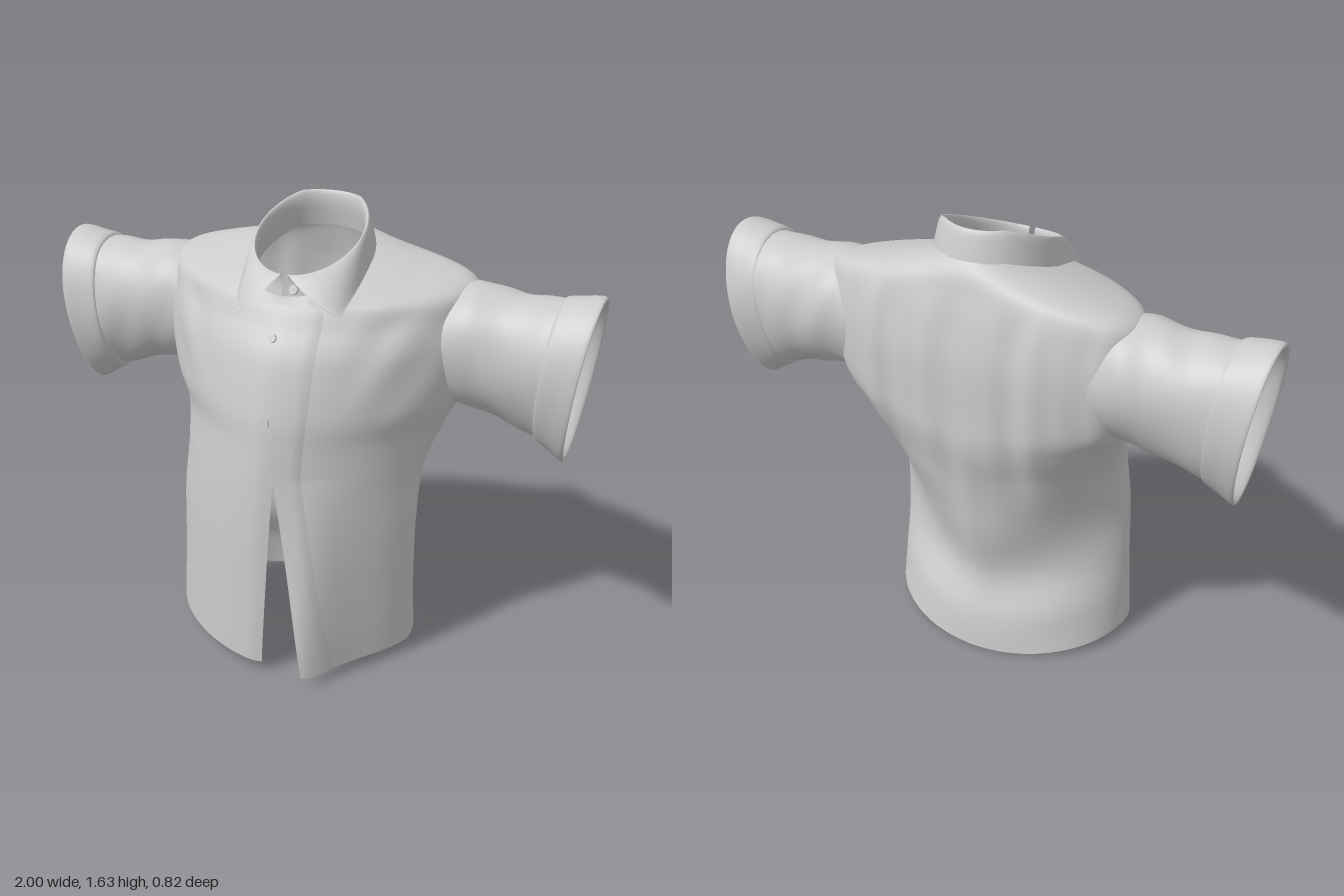
import * as THREE from 'three';
import { mergeVertices } from 'three/addons/utils/BufferGeometryUtils.js';

const cloth = new THREE.MeshStandardMaterial({ color: 0xcccccc, side: THREE.DoubleSide, roughness: 0.9 });
const { lerp, smoothstep, clamp } = THREE.MathUtils;

// Grid surface from f(u, v) -> [x, y, z]; keep() may leave quads out
function surface(name, nu, nv, f, keep = () => true) {
  const pos = [], idx = [];
  for (let j = 0; j <= nv; j++) for (let i = 0; i <= nu; i++) pos.push(...f(i / nu, j / nv));
  for (let j = 0; j < nv; j++) for (let i = 0; i < nu; i++) {
    const a = j * (nu + 1) + i, b = a + 1, c = a + nu + 1, d = c + 1;
    const mid = [0, 1, 2].map(k => (pos[a * 3 + k] + pos[d * 3 + k]) / 2);
    if (keep(...mid)) idx.push(a, b, c, b, d, c);
  }
  let g = new THREE.BufferGeometry();
  g.setAttribute('position', new THREE.Float32BufferAttribute(pos, 3));
  g.setIndex(idx);
  g = mergeVertices(g, 1e-5);
  g.computeVertexNormals();
  const m = new THREE.Mesh(g, cloth);
  m.name = name;
  return m;
}

// Smooth interpolation through rows of numbers, t in 0..1
function sample(rows, t) {
  const n = rows.length - 1, i = Math.min(Math.floor(t * n), n - 1), f = t * n - i;
  const at = k => rows[clamp(k, 0, n)];
  return rows[0].map((_, k) => {
    const p0 = at(i - 1)[k], p1 = at(i)[k], p2 = at(i + 1)[k], p3 = at(i + 2)[k];
    const a = (p2 - p0) / 2, b = (p3 - p1) / 2;
    return p1 + f * (a + f * (3 * (p2 - p1) - 2 * a - b + f * (2 * (p1 - p2) + a + b)));
  });
}

// Torso rings: y, centre x, half width, front z, back z, centre z, front and back roundness, tilt
const rings = [
  [0.045, -0.035, 0.465, 0.375, -0.375, 0.0, 1.55, 2.0, 0],
  [0.17, -0.03, 0.463, 0.378, -0.36, 0.0, 1.55, 1.75, 0],
  [0.33, -0.025, 0.46, 0.38, -0.315, 0.0, 1.55, 1.5, 0],
  [0.55, -0.02, 0.457, 0.38, -0.34, 0.0, 1.55, 1.5, 0],
  [0.75, -0.01, 0.453, 0.372, -0.385, -0.03, 1.6, 1.85, 0],
  [0.9, 0, 0.49, 0.36, -0.402, -0.1, 1.6, 2.4, 0],
  [1.02, 0, 0.545, 0.345, -0.402, -0.12, 1.6, 3.0, 0],
  [1.2, 0, 0.575, 0.295, -0.4, -0.13, 1.6, 3.0, 0],
  [1.32, 0, 0.575, 0.235, -0.38, -0.16, 1.65, 2.8, 0.05],
  [1.405, 0, 0.54, 0.205, -0.355, -0.17, 1.75, 2.4, 0.15],
  [1.44, 0, 0.35, 0.19, -0.335, -0.1, 2.0, 2.1, 0.24],
  [1.465, 0, 0.19, 0.18, -0.3, -0.05, 2.0, 2.0, 0.32],
];

// u runs from the left front edge round the back to the right front edge
function torsoPoint(u, v) {
  const [y0, cx, w, zf, zb, zc, nf, nb, tilt] = sample(rings, v);
  const open = Math.max(0, 0.8 - y0) / 0.77;
  const edge = g => Math.sign(g - cx) * Math.asin(Math.min(1, Math.abs((g - cx) / w) ** (nf / 2)));
  const a = lerp(edge(0.045 + 0.125 * open), Math.PI * 2 + edge(0.045 - 0.05 * open), u);
  const s = Math.sin(a), c = Math.cos(a), n = c > 0 ? nf : nb;
  const x = cx + w * Math.sign(s) * Math.abs(s) ** (2 / n);
  let z = zc + (c > 0 ? zf - zc : zb - zc) * Math.abs(c) ** (2 / n);
  let y = y0 - tilt * (z - zc);
  const top = 1 - smoothstep(y0, 1.3, 1.44);
  if (c > 0) {
    // flared left front edge and soft chest folds
    if (u < 0.5) z += 0.1 * open * Math.exp(-(((x - 0.17) / 0.1) ** 2));
    z += c * top * 0.008 * Math.sin(32 * (Math.abs(x) - 0.6 * y)) * smoothstep(y, 0.9, 1.2) * smoothstep(Math.abs(x), 0.18, 0.4);
  } else {
    // uneven gathers under the yoke, a slanting drape and a dipped back hem
    z -= c * top * 0.007 * (Math.sin(30 * x + 1) + 0.5 * Math.sin(53 * x)) * smoothstep(y, 0.5, 1.0);
    const drape = smoothstep(y, 0.08, 0.3) * (1 - smoothstep(y, 0.7, 0.95));
    z -= c * 0.012 * drape * Math.sin(11 * (y - 0.9 * Math.hypot(x + 0.05, 0.06)));
    y -= 0.043 * c * c * (1 - smoothstep(y0, 0, 0.35));
  }
  return [x, y, z];
}

// Sleeve rings: x at top, x at bottom, top y, bottom y, half depth, centre z
const sleeveRings = [
  [0.42, 0.42, 1.375, 0.97, 0.168, -0.17],
  [0.54, 0.55, 1.405, 0.965, 0.183, -0.168],
  [0.64, 0.63, 1.395, 0.95, 0.175, -0.166],
  [0.76, 0.73, 1.387, 0.92, 0.17, -0.163],
  [0.9, 0.85, 1.395, 0.88, 0.17, -0.157],
];
const cuffRings = [
  [0.86, 0.81, 1.375, 0.905, 0.162, -0.158],
  [0.87, 0.82, 1.4, 0.878, 0.174, -0.156],
  [0.93, 0.87, 1.41, 0.845, 0.176, -0.154],
  [0.99, 0.91, 1.416, 0.82, 0.178, -0.152],
  [1.0, 0.92, 1.405, 0.828, 0.172, -0.152],
  [0.98, 0.9, 1.392, 0.848, 0.16, -0.154],
  [0.88, 0.83, 1.372, 0.9, 0.155, -0.157],
];

function sleevePart(name, table, side, nv, wrinkle) {
  return surface(name, 56, nv, (u, v) => {
    const [xt, xb, yt, yb, rz, zc] = sample(table, v);
    const a = (u % 1) * Math.PI * 2, c = Math.cos(a), s = Math.sin(a), x = lerp(xb, xt, (c + 1) / 2);
    const k = 1 + wrinkle * (Math.sin(38 * x + 2.5 * s + 3 * c) + 0.6 * Math.sin(5 * a + 16 * x * side));
    return [side * x, (yt + yb) / 2 + ((yt - yb) / 2) * c * k, zc + rz * s * (1 + 0.14 * c) * k];
  });
}

// Folded collar: s runs -1..1 from right front, round the back, to left front
const collarProfile = [[1.04, -0.125], [0.97, -0.05], [0.97, -0.012], [1.01, 0.004], [1.06, -0.01], [1.11, -0.045], [1.17, -0.095]];
function collarPoint(u, v) {
  const s = u * 2 - 1, a = s * (Math.PI - 0.06);
  const [scale, drop] = sample(collarProfile, v);
  const z0 = -0.05 - 0.22 * Math.cos(a);
  const p = [
    0.005 + 0.185 * scale * Math.sin(a),
    1.46 + 0.17 * Math.min(1, (0.17 - z0) / 0.4) + drop,
    -0.05 - 0.22 * scale * Math.cos(a),
  ];
  // front leaves widen steadily into the collar points
  const tip = s > 0 ? [0.28, 1.34, 0.19] : [-0.15, 1.33, 0.245];
  const out = clamp((v - 0.5) / 0.5, 0, 1);
  const pull = clamp((Math.abs(s) - 0.5) / 0.5, 0, 1) * out;
  const q = p.map((value, k) => lerp(value, tip[k], pull));
  q[2] += 0.1 * pull * (1 - pull);
  return q;
}

export function createModel() {
  const shirt = new THREE.Group();
  shirt.name = 'shirt';

  // Body with armholes left open
  shirt.add(surface('body', 190, 130, torsoPoint, (x, y, z) =>
    Math.abs(x) < 0.4 || ((z + 0.168) / 0.16) ** 2 + ((y - 1.178) / 0.2) ** 2 > 1));

  // Button strip along the left front edge
  shirt.add(surface('placket', 6, 90, (u, v) => {
    const p = torsoPoint(u * 0.035, v * 0.95);
    p[2] += u > 0.99 ? 0 : 0.006;
    return p;
  }));

  for (const side of [1, -1]) {
    const arm = new THREE.Group();
    arm.name = side > 0 ? 'leftSleeve' : 'rightSleeve';
    arm.add(sleevePart('sleeve', sleeveRings, side, 40, 0.012));
    arm.add(sleevePart('cuff', cuffRings, side, 30, 0.006));
    shirt.add(arm);
  }

  shirt.add(surface('collar', 120, 30, collarPoint));

  // Buttons
  for (const [x, y, z, lean] of [[0.05, 1.425, 0.195, -0.4], [0.0, 1.27, 0.26, -0.5], [0.012, 1.0, 0.35, -0.15]]) {
    const b = new THREE.Mesh(new THREE.CylinderGeometry(0.015, 0.015, 0.012, 16), cloth);
    b.name = 'button';
    b.position.set(x, y, z);
    b.rotation.x = Math.PI / 2 + lean;
    shirt.add(b);
  }
  return shirt;
}
